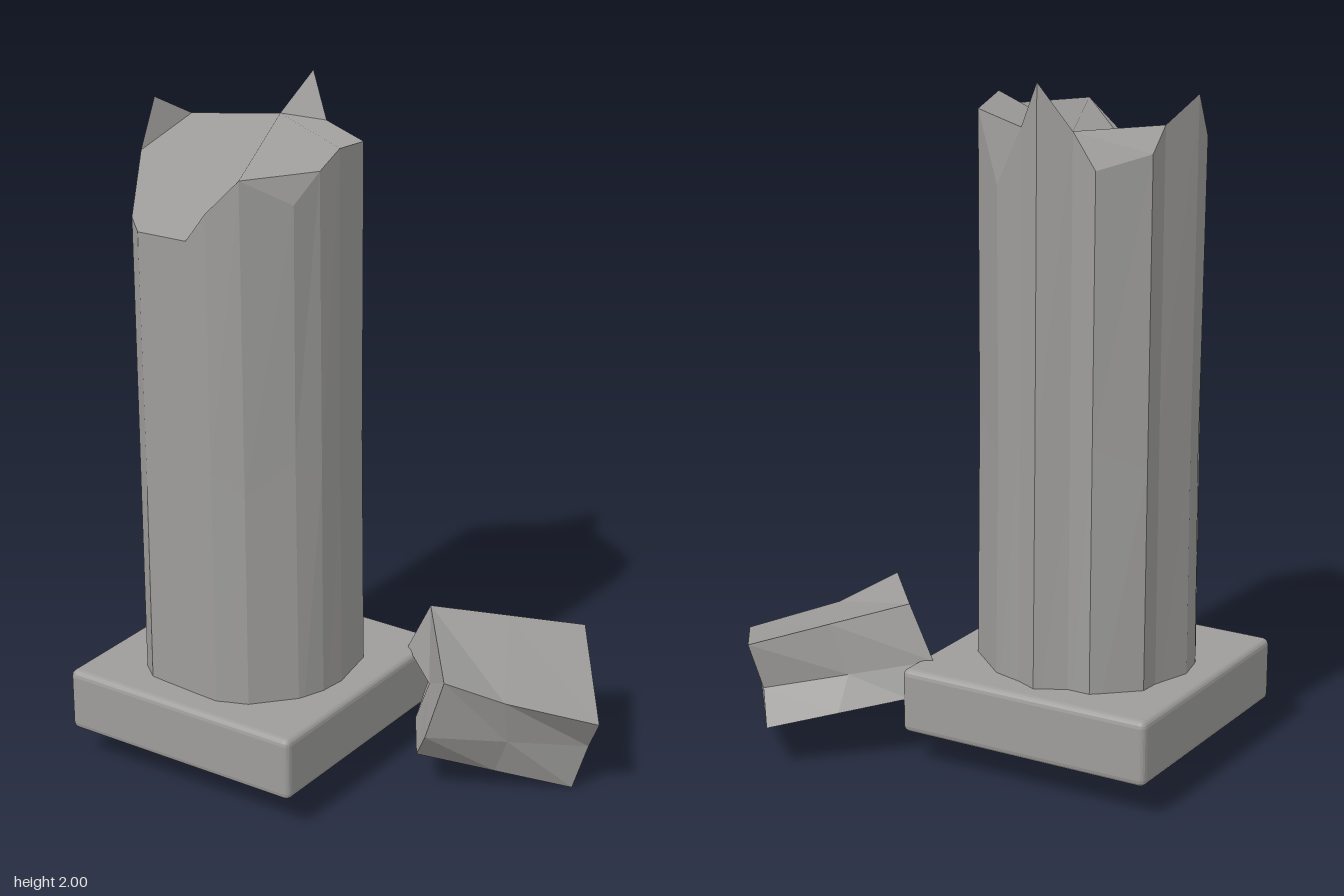
import * as THREE from 'three';
import { RoundedBoxGeometry } from 'three/addons/geometries/RoundedBoxGeometry.js';

const color = 0x9e9d9b;
const stone = new THREE.MeshStandardMaterial({ color, flatShading: true });
const brokenEdge = new THREE.MeshStandardMaterial({ color, flatShading: true, side: THREE.DoubleSide });
const brokenFace = new THREE.MeshStandardMaterial({ color });

function fromTriangles(triangles) {
  const geometry = new THREE.BufferGeometry();
  geometry.setAttribute('position', new THREE.Float32BufferAttribute(triangles.flat(2), 3));
  geometry.computeVertexNormals();
  return geometry;
}

// Joins matching cross-sections into a faceted solid; each given centre closes its end
function loft(rings, startCentre, endCentre) {
  const triangles = [];
  const first = rings[0], last = rings[rings.length - 1];
  first.forEach((_, i) => {
    const j = (i + 1) % first.length;
    for (let r = 0; r < rings.length - 1; r++) {
      const a = rings[r], b = rings[r + 1];
      triangles.push([a[i], a[j], b[j]], [a[i], b[j], b[i]]);
    }
    triangles.push([startCentre, first[j], first[i]]);
    if (endCentre) triangles.push([endCentre, last[i], last[j]]);
  });
  return fromTriangles(triangles);
}

function addMesh(group, name, geometry, material = stone) {
  const mesh = new THREE.Mesh(geometry, material);
  mesh.name = name;
  group.add(mesh);
  return mesh;
}

export function createModel() {
  const model = new THREE.Group();
  model.name = 'brokenColumn';
  const cx = -0.32, cz = 0.118;

  // Square plinth with narrow rounded edges
  const plinth = addMesh(model, 'plinth', new RoundedBoxGeometry(0.785, 0.192, 0.785, 2, 0.02));
  plinth.position.set(cx, 0.196, cz);

  // Jagged rim of the shaft: x, height, z, from the front round by the left
  const rim = [
    [-0.31, 1.67, 0.42], [-0.24, 1.76, 0.425], [-0.15, 1.86, 0.39],
    [-0.05, 1.78, 0.28], [-0.02, 1.86, 0.2], [-0.01, 1.905, 0.12],
    [-0.04, 1.88, -0.04], [-0.17, 1.7, -0.155], [-0.26, 1.87, -0.18],
    [-0.325, 2.0, -0.21], [-0.41, 1.87, -0.165], [-0.48, 1.77, -0.165],
    [-0.595, 1.81, -0.06], [-0.6, 1.88, 0], [-0.638, 1.95, 0.12],
    [-0.62, 1.82, 0.21], [-0.54, 1.68, 0.36], [-0.485, 1.66, 0.405],
  ];
  // Lower rings follow the rim, with slight chips at mid height
  const ringAt = (y, chip) => rim.map(([x, , z], i) => {
    const k = 1 - chip * ((i * 5) % 4) / 3;
    return [cx + (x - cx) * k, y + chip * 1.5 * ((i * 3) % 5 - 2), cz + (z - cz) * k];
  });
  addMesh(model, 'shaft', loft([ringAt(0.09, 0), ringAt(0.97, 0.022), rim], [cx, 0.09, cz]));

  // Steep slivers where the rim spikes up or is notched
  const slivers = [
    [0, 1, 2], [2, 3, 4], [6, 7, 8], [8, 9, 10], [10, 11, 12], [10, 12, 13], [13, 14, 15],
  ];
  addMesh(model, 'rimBreaks', fromTriangles(slivers.map((t) => t.map((i) => rim[i]))), brokenEdge);

  // Broad break across the top, falling to the front and shaded evenly
  const outline = [13, 15, 16, 17, 0, 2, 4, 5, 6, 8];
  const breakTriangles = outline.slice(1).map((k, i) => [rim[10], rim[outline[i]], rim[k]]);
  const breakGeometry = fromTriangles(breakTriangles);
  const normal = new THREE.Vector3(-0.1, 0.97, 0.2).normalize();
  const normals = breakGeometry.attributes.normal;
  for (let i = 0; i < normals.count; i++) normals.setXYZ(i, normal.x, normal.y, normal.z);
  addMesh(model, 'topBreak', breakGeometry, brokenFace);

  // Fallen piece of the shaft, leaning on the plinth
  const nearEnd = [
    [0.11, 0.45, -0.17], [0.36, 0.405, 0.15], [0.31, 0.225, 0.17], [0.25, 0.13, 0.12],
    [0.13, 0.13, -0.06], [0.07, 0.19, -0.24], [0.03, 0.29, -0.17],
  ];
  const farEnd = [
    [0.46, 0.355, -0.48], [0.71, 0.25, -0.13], [0.65, 0.14, -0.18], [0.61, 0, -0.16],
    [0.5, 0.06, -0.34], [0.375, 0.13, -0.515], [0.43, 0.22, -0.45],
  ];
  const middle = nearEnd.map((p, i) => p.map((v, k) => (v + farEnd[i][k]) / 2));
  middle[1] = [0.49, 0.325, 0.03];
  addMesh(model, 'fallenPiece', loft(
    [nearEnd, middle, farEnd], [0.19, 0.27, -0.04], [0.54, 0.17, -0.31],
  ));

  return model;
}
